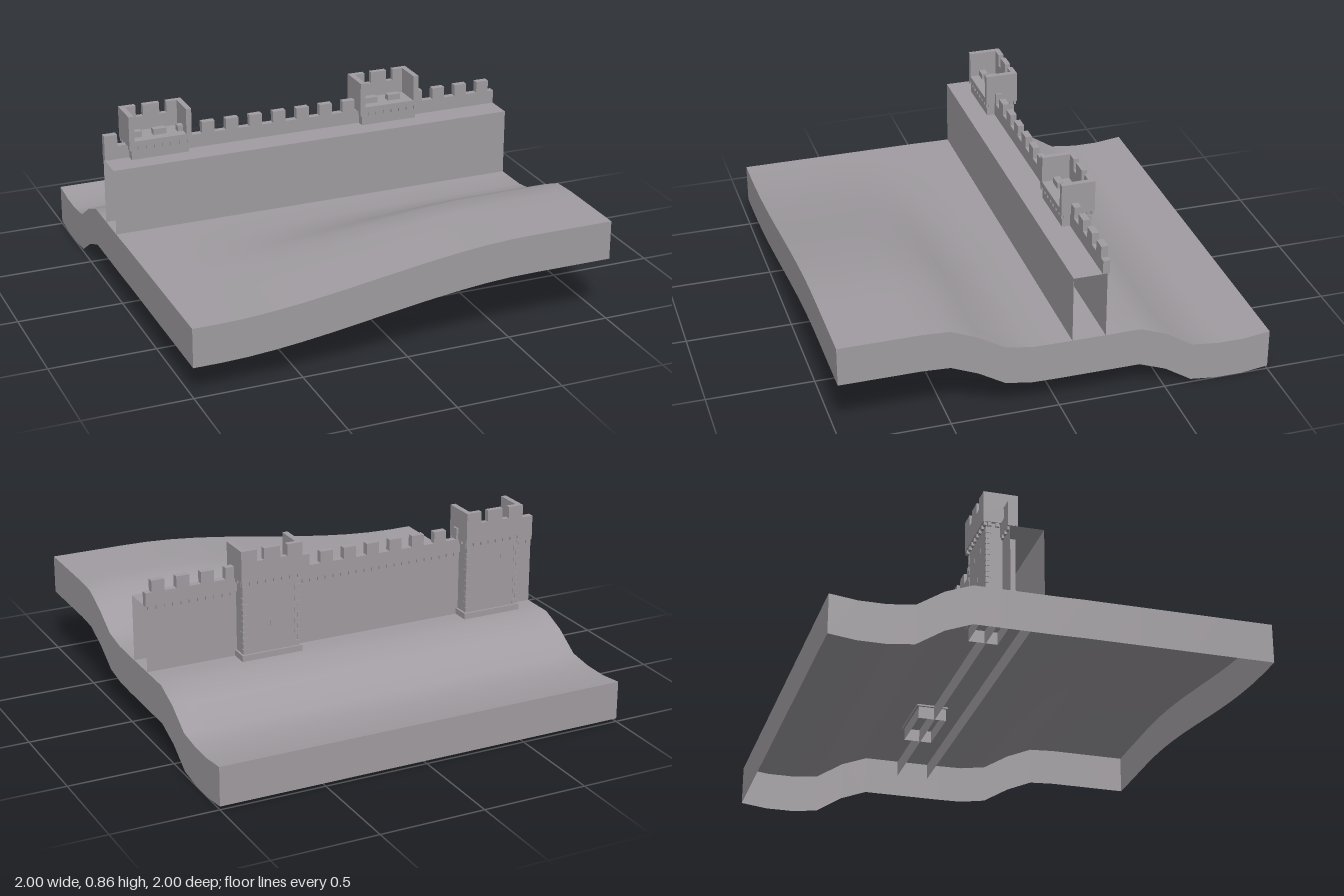
import * as THREE from 'three';

const stone = new THREE.MeshStandardMaterial({ color: 0xa09ca1, side: THREE.DoubleSide });
stone.name = 'greyStone';

function add(parent, name, geometry) {
  const mesh = new THREE.Mesh(geometry, stone);
  mesh.name = name;
  parent.add(mesh);
  return mesh;
}

// Box given by its minimum and maximum corners
function box(parent, name, x0, x1, y0, y1, z0, z1) {
  const mesh = add(parent, name, new THREE.BoxGeometry(x1 - x0, y1 - y0, z1 - z0));
  mesh.position.set((x0 + x1) / 2, (y0 + y1) / 2, (z0 + z1) / 2);
  return mesh;
}

// Ground cross-section in steps of 0.125 from z = -1 to z = 1
const SECTION = [0.2, 0.185, 0.185, 0.2, 0.28, 0.328, 0.328, 0.328, 0.328,
  0.33, 0.35, 0.425, 0.478, 0.485, 0.485, 0.485, 0.485];
function groundHeight(x, z) {
  const h = SECTION[Math.round((z + 1) * 8)];
  // The front bank rises only towards +x
  const rise = THREE.MathUtils.smoothstep(x, -0.9, 0.6);
  return z > 0.05 ? 0.33 + (h - 0.33) * rise : h;
}

function buildGround(root) {
  const ground = new THREE.Group();
  ground.name = 'ground';
  root.add(ground);

  const top = new THREE.PlaneGeometry(2, 2, 16, 16).rotateX(-Math.PI / 2);
  const p = top.attributes.position;
  for (let i = 0; i < p.count; i++) p.setY(i, groundHeight(p.getX(i), p.getZ(i)));
  top.computeVertexNormals();
  add(ground, 'groundSurface', top);

  // Four hanging edges, open underneath
  const sides = [
    ['frontEdge', t => [t, 1]], ['backEdge', t => [-t, -1]],
    ['leftEdge', t => [1, -t]], ['rightEdge', t => [-1, t]],
  ];
  for (const [name, at] of sides) {
    const pos = [], index = [];
    for (let i = 0; i <= 16; i++) {
      const [x, z] = at(-1 + i / 8);
      const y = groundHeight(x, z);
      pos.push(x, y, z, x, y - 0.185, z);
      const a = i * 2;
      if (i < 16) index.push(a, a + 1, a + 2, a + 2, a + 1, a + 3);
    }
    const g = new THREE.BufferGeometry();
    g.setAttribute('position', new THREE.Float32BufferAttribute(pos, 3));
    g.setIndex(index);
    g.computeVertexNormals();
    add(ground, name, g);
  }
}

function buildWall(root) {
  const wall = new THREE.Group();
  wall.name = 'curtainWall';
  root.add(wall);

  // Open-ended shell: front face, walkway and back face
  const front = add(wall, 'wallFront', new THREE.PlaneGeometry(2, 0.395));
  front.position.set(0, 0.4475, -0.055);
  const walk = add(wall, 'walkway', new THREE.PlaneGeometry(2, 0.135).rotateX(-Math.PI / 2));
  walk.position.set(0, 0.645, -0.1225);
  const back = add(wall, 'wallBack', new THREE.PlaneGeometry(2, 0.4).rotateY(Math.PI));
  back.position.set(0, 0.45, -0.21);

  // Parapet with merlons and a row of corbels behind
  box(wall, 'parapet', -1, 1, 0.645, 0.71, -0.22, -0.188);
  for (let i = 0; i < 17; i++) {
    const x = -1 + i * 0.1192;
    box(wall, 'merlon', x, x + 0.063, 0.71, 0.765, -0.22, -0.188);
  }
  for (let i = 0; i < 50; i++) {
    const x = -0.99 + i * 0.04;
    box(wall, 'wallCorbel', x, x + 0.02, 0.628, 0.645, -0.22, -0.21);
  }
}

function buildTower(root, x) {
  const tower = new THREE.Group();
  tower.name = 'tower';
  tower.position.x = x;
  root.add(tower);

  // Hollow shaft, open underneath, and its plinth
  const shaft = new THREE.Shape();
  shaft.moveTo(-0.14, -0.15).lineTo(0.14, -0.15).lineTo(0.14, -0.285).lineTo(-0.14, -0.285);
  const pts = shaft.getPoints();
  pts.forEach((a, i) => {
    const b = pts[(i + 1) % pts.length];
    const side = add(tower, 'shaftSide', new THREE.PlaneGeometry(a.distanceTo(b), 0.45));
    side.position.set((a.x + b.x) / 2, 0.485, (a.y + b.y) / 2);
    side.rotation.y = Math.atan2(a.y - b.y, b.x - a.x);
  });
  box(tower, 'plinth', -0.15, 0.15, 0.32, 0.357, -0.295, -0.142);

  // Top platform with a parapet on three sides, open towards the walkway
  box(tower, 'platform', -0.152, 0.152, 0.71, 0.737, -0.3, -0.142);
  for (const s of [-1, 1]) {
    const inner = s * 0.126, outer = s * 0.152;
    box(tower, 'sideParapet', Math.min(inner, outer), Math.max(inner, outer), 0.737, 0.86, -0.3, -0.142);
  }
  box(tower, 'backParapet', -0.126, 0.126, 0.737, 0.805, -0.3, -0.274);
  for (const [a, b] of [[-0.126, -0.075], [-0.04, 0.04], [0.075, 0.126]])
    box(tower, 'towerMerlon', a, b, 0.805, 0.86, -0.3, -0.274);

  // Corbels below the platform on all sides
  for (let i = 0; i < 8; i++) {
    const c = -0.15 + i * 0.04;
    box(tower, 'corbel', c, c + 0.02, 0.692, 0.71, -0.297, -0.285);
    box(tower, 'corbel', c, c + 0.02, 0.692, 0.71, -0.15, -0.142);
  }
  for (let i = 0; i < 4; i++) {
    const z = -0.28 + i * 0.036;
    box(tower, 'corbel', -0.15, -0.14, 0.692, 0.71, z, z + 0.018);
    box(tower, 'corbel', 0.14, 0.15, 0.692, 0.71, z, z + 0.018);
  }

  // Alternating corner stones on the outer face
  for (let i = 0; i < 12; i++) {
    const y = 0.36 + i * 0.0272, w = i % 2 ? 0.014 : 0.026;
    for (const s of [-1, 1]) {
      const m = box(tower, 'cornerStone', 0, w, y, y + 0.024, -0.288, -0.288 + 0.04 - w);
      m.position.x = s * (0.143 - w / 2);
    }
  }

  // Small arrow slits
  for (const [sx, sy] of [[-0.05, 0.6], [0.05, 0.6], [0, 0.48]])
    box(tower, 'arrowSlit', sx - 0.004, sx + 0.004, sy, sy + 0.025, -0.287, -0.285);
}

export function createModel() {
  const root = new THREE.Group();
  root.name = 'castleWall';
  buildGround(root);
  buildWall(root);
  for (const x of [-0.742, 0.418]) buildTower(root, x);
  return root;
}
